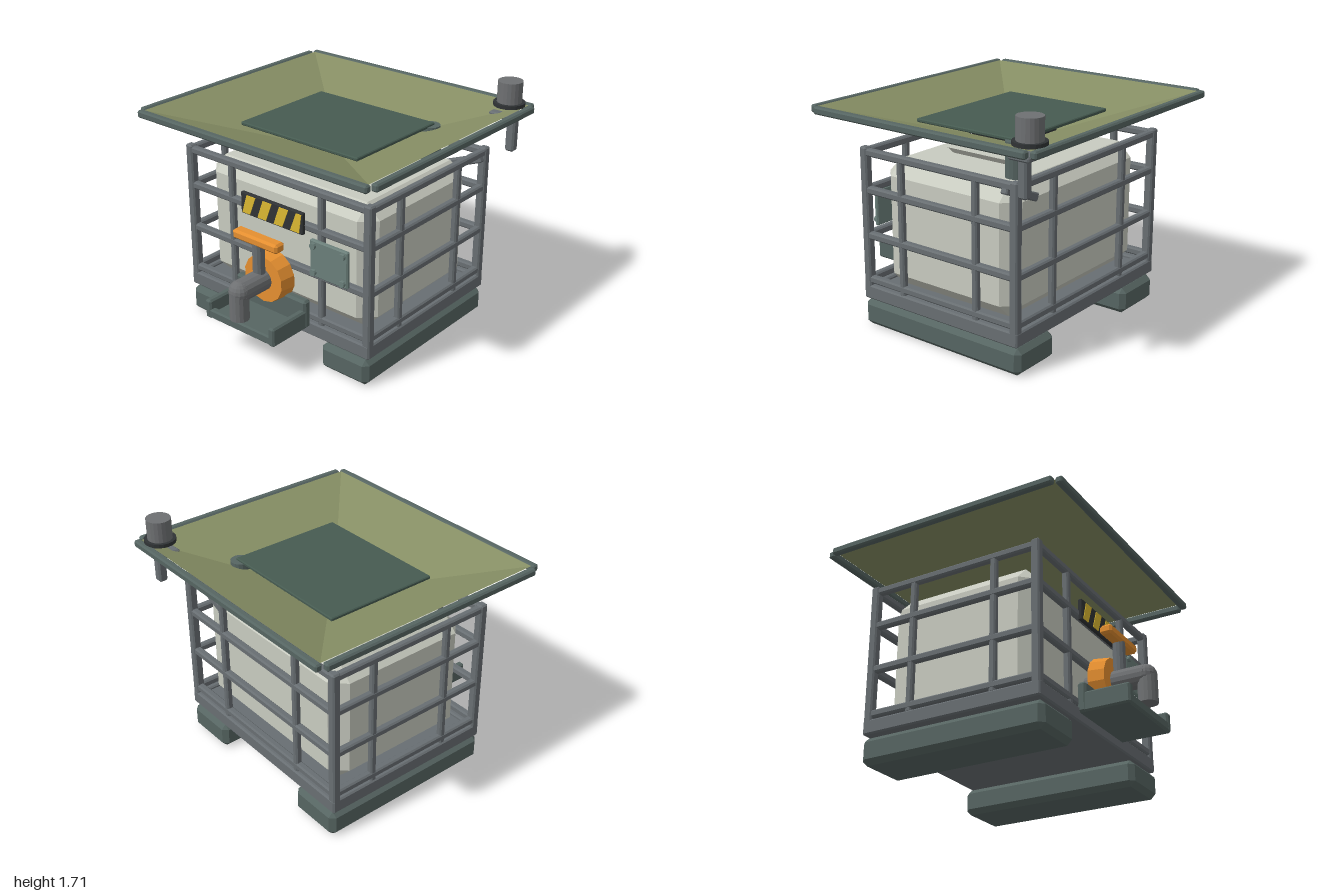
import * as THREE from 'three';
import { ConvexGeometry } from 'three/addons/geometries/ConvexGeometry.js';

const mat = (color, side = THREE.FrontSide) =>
  new THREE.MeshStandardMaterial({ color, side, flatShading: true });

const steel = mat(0x686e72), green = mat(0x566562), dark = mat(0x303335),
  tankMat = mat(0xc8cbc0), orange = mat(0xe58f30), yellow = mat(0xdcb932),
  grey = mat(0x6e7072), lidMat = mat(0x465b51), plateMat = mat(0x6b7f7a),
  canvas = mat(0x868e64, THREE.DoubleSide);

const ZC = -0.065; // centre of the frame along z

export function createModel() {
  const root = new THREE.Group();

  const add = (name, geometry, material, x = 0, y = 0, z = 0, parent = root) => {
    const m = new THREE.Mesh(geometry, material);
    m.name = name;
    m.position.set(x, y, z);
    parent.add(m);
    return m;
  };

  // box with all edges and corners cut at 45 degrees
  const chamferGeo = (w, h, d, c) => {
    const pts = [];
    for (const sx of [-1, 1]) for (const sy of [-1, 1]) for (const sz of [-1, 1])
      for (let k = 0; k < 3; k++)
        pts.push(new THREE.Vector3(
          sx * (w / 2 - (k === 0 ? 0 : c)),
          sy * (h / 2 - (k === 1 ? 0 : c)),
          sz * (d / 2 - (k === 2 ? 0 : c))));
    return new ConvexGeometry(pts);
  };

  // chamfered box given by its limits on each axis
  const block = (name, material, [x0, x1], [y0, y1], [z0, z1], c = 0.008, parent = root) =>
    add(name, chamferGeo(x1 - x0, y1 - y0, z1 - z0, c), material,
      (x0 + x1) / 2, (y0 + y1) / 2, (z0 + z1) / 2, parent);

  // upright cylinder from y0 to y1
  const pipe = (name, material, x, z, r, y0, y1, sides = 16) =>
    add(name, new THREE.CylinderGeometry(r, r, y1 - y0, sides), material, x, (y0 + y1) / 2, z);

  // skids and spacers
  for (const s of [-1, 1]) {
    block('skid', green, [s * 0.6 - 0.195, s * 0.6 + 0.195], [0, 0.185], [-0.725, 0.6], 0.035);
    block('skidSpacer', dark, [s * 0.6 - 0.08, s * 0.6 + 0.08], [0.17, 0.22], [-0.52, 0.39], 0.003);
  }

  // base deck with raised edge beams
  block('baseDeck', steel, [-0.795, 0.795], [0.2, 0.28], [-0.71, 0.58], 0.01);
  for (const s of [-1, 1]) {
    block('baseEdge', steel, [-0.8, 0.8], [0.2, 0.3], [ZC + s * 0.62 - 0.03, ZC + s * 0.62 + 0.03], 0.01);
    block('baseEdge', steel, [s * 0.77 - 0.03, s * 0.77 + 0.03], [0.2, 0.3], [ZC - 0.65, ZC + 0.65], 0.01);
  }

  // tank
  block('tank', tankMat, [-0.715, 0.715], [0.3, 1.18], [ZC - 0.548, ZC + 0.548], 0.1);

  // cage: corner posts, rails and middle posts on all four sides
  const cage = new THREE.Group();
  cage.name = 'cage';
  root.add(cage);
  const span = (c, t) => [c - t / 2, c + t / 2];
  for (const s of [-1, 1]) {
    const zf = ZC + s * 0.618, xf = s * 0.77;
    for (const t of [-1, 1]) {
      block('cornerPost', steel, span(xf, 0.06), [0.25, 1.265], span(ZC + t * 0.618, 0.06), 0.01, cage);
      block('middlePost', steel, span(t * 0.39, 0.046), [0.29, 1.24], span(zf, 0.046), 0.01, cage);
      block('middlePost', steel, span(xf, 0.046), [0.29, 1.24], span(ZC + t * 0.308, 0.046), 0.01, cage);
    }
    for (const y of [0.34, 0.655, 0.972, 1.23]) {
      block('rail', steel, [-0.77, 0.77], span(y, 0.05), span(zf, 0.05), 0.01, cage);
      block('rail', steel, span(xf, 0.05), span(y, 0.05), [ZC - 0.618, ZC + 0.618], 0.01, cage);
    }
  }

  // flared collar and neck under the funnel
  const collar = add('collar', new THREE.CylinderGeometry(0.49, 0.44, 0.045, 4, 1), tankMat, 0, 1.197, ZC);
  collar.geometry.rotateY(Math.PI / 4).scale(0.98, 1, 0.82);
  block('neck', dark, [-0.19, 0.19], [1.19, 1.31], [ZC - 0.195, ZC + 0.195], 0.004);
  block('lidSupport', dark, [-0.21, 0.21], [1.3, 1.41], [ZC - 0.21, ZC + 0.21], 0.004);

  // funnel: four sloping panels
  const ring = (x, z, y) => [[-x, y, ZC + z], [x, y, ZC + z], [x, y, ZC - z], [-x, y, ZC - z]];
  const low = ring(0.21, 0.2, 1.3), high = ring(0.945, 0.86, 1.53);
  const verts = [];
  for (let i = 0; i < 4; i++) {
    const j = (i + 1) % 4;
    verts.push(...low[i], ...low[j], ...high[j], ...low[i], ...high[j], ...high[i]);
  }
  const funnelGeo = new THREE.BufferGeometry();
  funnelGeo.setAttribute('position', new THREE.Float32BufferAttribute(verts, 3));
  funnelGeo.computeVertexNormals();
  add('funnel', funnelGeo, canvas);

  // rim bars and lid
  for (const s of [-1, 1]) {
    block('rimBar', green, [-0.965, 0.965], [1.487, 1.537], span(ZC + s * 0.883, 0.048), 0.01);
    block('rimBar', green, span(s * 0.975, 0.05), [1.487, 1.537], [ZC - 0.85, ZC + 0.85], 0.01);
  }
  block('lid', lidMat, [-0.5, 0.5], [1.405, 1.43], [-0.48, 0.345], 0.006);

  // filler pipe through the funnel
  pipe('fillerPipe', green, 0.48, -0.46, 0.068, 1.15, 1.415);

  // vent on the back corner of the rim
  pipe('ventCap', grey, 0.845, -0.84, 0.084, 1.55, 1.705, 20);
  pipe('ventFlange', dark, 0.845, -0.84, 0.107, 1.535, 1.56, 20);
  block('ventBracket', steel, [0.738, 0.953], [1.455, 1.49], [-0.91, -0.757], 0.01);
  block('ventTube', steel, [0.852, 0.918], [1.22, 1.46], [-0.867, -0.803], 0.012);
  const strut = block('ventStrut', steel, [-0.17, 0.17], [-0.028, 0.028], [-0.025, 0.025], 0.008);
  strut.position.set(0.64, 1.145, -0.615);
  strut.rotation.z = 0.38;

  // outlet valve
  const disc = add('valveDisc', new THREE.CylinderGeometry(0.165, 0.18, 0.11, 14), orange, 0, 0.555, 0.635);
  disc.rotation.x = Math.PI / 2;
  const spout = add('valveSpout', new THREE.CylinderGeometry(0.075, 0.075, 0.42, 16), grey, 0, 0.555, 0.705);
  spout.rotation.x = Math.PI / 2;
  add('spoutElbow', new THREE.SphereGeometry(0.075, 16, 10), grey, 0, 0.555, 0.905);
  pipe('spoutEnd', grey, 0, 0.915, 0.065, 0.36, 0.56);
  pipe('valveStem', steel, 0, 0.725, 0.042, 0.56, 0.83, 12);
  block('valveHandle', orange, [-0.195, 0.195], [0.82, 0.885], [0.682, 0.768], 0.015);

  // drip tray
  block('trayBack', green, [-0.31, 0.31], [0.26, 0.465], [0.57, 0.632], 0.015);
  block('trayFloor', green, [-0.3, 0.3], [0.26, 0.3], [0.6, 0.92], 0.008);
  block('trayLip', green, [-0.3, 0.3], [0.265, 0.33], [0.88, 0.928], 0.01);
  for (const s of [-1, 1])
    block('traySide', green, span(s * 0.282, 0.052), [0.26, 0.395], [0.61, 0.93], 0.012);

  // striped warning panel
  block('warningPanel', dark, [-0.27, 0.27], [0.92, 1.073], [0.57, 0.6], 0.006);
  for (let i = 0; i < 4; i++) {
    const x = -0.262 + i * 0.143;
    const a = Math.max(x, -0.255), b = Math.min(x + 0.128, 0.262);
    const shape = new THREE.Shape([
      new THREE.Vector2(a, 0.93), new THREE.Vector2(x + 0.075, 0.93),
      new THREE.Vector2(b, 1.062), new THREE.Vector2(x + 0.05, 1.062)]);
    add('warningStripe', new THREE.ExtrudeGeometry(shape, { depth: 0.006, bevelEnabled: false }),
      yellow, 0, 0, 0.598);
  }

  // bolted plate
  block('boltedPlate', plateMat, [0.34, 0.648], [0.67, 0.927], [0.585, 0.615], 0.008);
  for (const x of [0.376, 0.614]) for (const y of [0.705, 0.892]) {
    const bolt = add('bolt', new THREE.CylinderGeometry(0.022, 0.022, 0.03, 10), plateMat, x, y, 0.62);
    bolt.rotation.x = Math.PI / 2;
  }

  return root;
}
